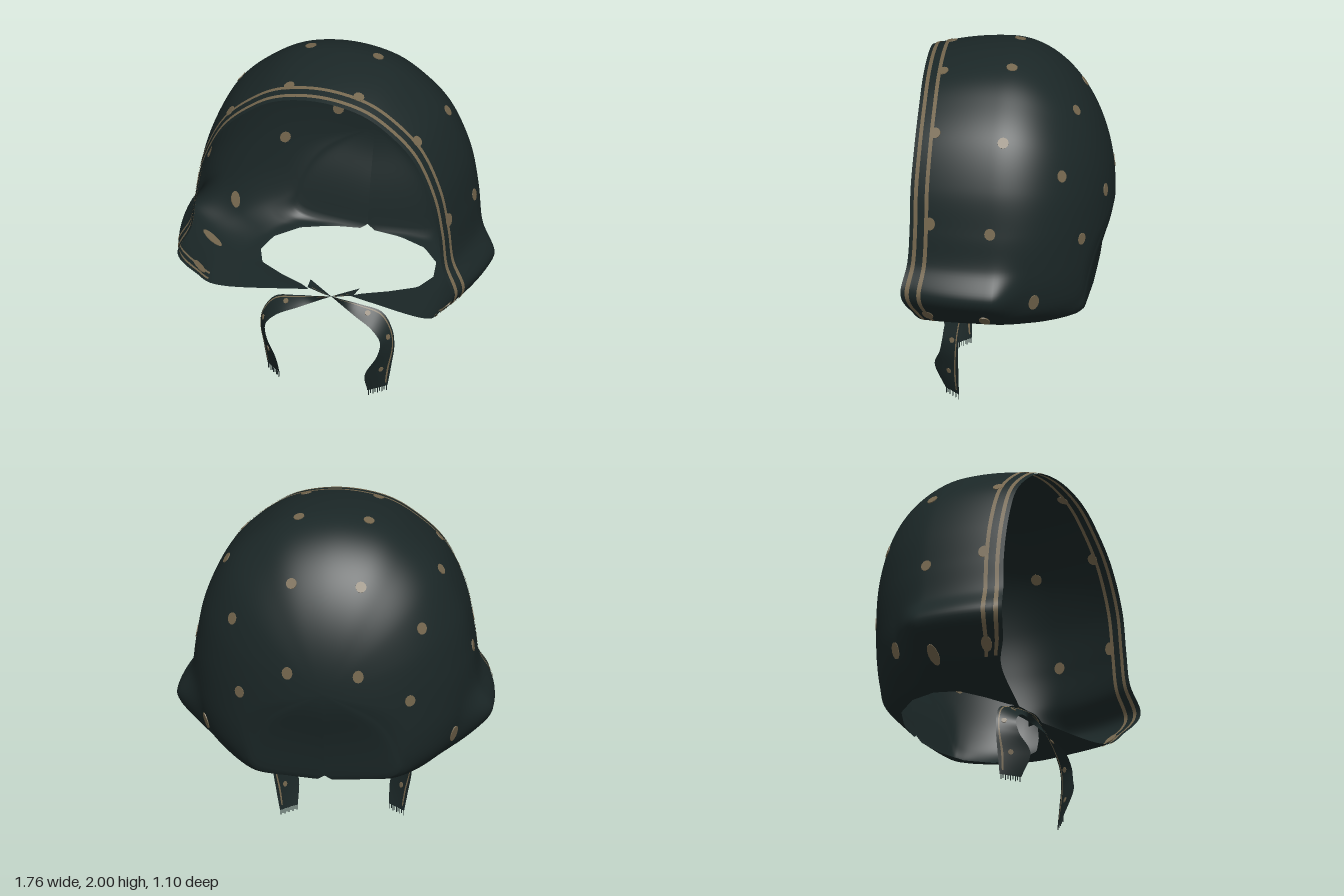
import * as THREE from 'three';

const V = (x, y, z) => new THREE.Vector3(x, y, z);
const { smoothstep, lerp, clamp } = THREE.MathUtils;

// Half outline of the bonnet, crown to chin: x, y, z of the front edge, cheek flare, lift at the back
const OUTLINE = [
  [0, 2, 0.49, 0, 0], [0.24, 1.965, 0.49, 0, 0], [0.42, 1.87, 0.49, 0, 0], [0.6, 1.7, 0.495, 0, 0],
  [0.72, 1.45, 0.505, 0, 0], [0.77, 1.2, 0.505, 0, 0], [0.78, 1.0, 0.515, 0.02, 0],
  [0.765, 0.84, 0.545, 0.115, 0.06], [0.71, 0.7, 0.5, 0.06, 0.12], [0.59, 0.595, 0.42, 0.02, 0.09],
  [0, 0.573, 0.28, 0, 0],
];
// Neck opening: z, half width
const NECK = [[-0.43, 0], [-0.4, 0.2], [-0.33, 0.36], [-0.2, 0.47], [-0.05, 0.5], [0.08, 0.45],
  [0.17, 0.31], [0.24, 0.17], [0.28, 0.12]];
const BACK = -0.55, MID = 1.15;

function neckWidth(z) {
  if (z <= NECK[0][0]) return 0;
  for (let i = 1; i < NECK.length; i++) {
    const [z0, x0] = NECK[i - 1], [z1, x1] = NECK[i];
    if (z <= z1) return lerp(x0, x1, (z - z0) / (z1 - z0));
  }
  return 0.12;
}

// One cross arch of the shell, t = 0 at the back, 1 at the face opening
function arch(t) {
  const half = OUTLINE.map(([x, y, front, flare, lift], i) => {
    const z = BACK + 1.05 * t + (front - 0.5) * t ** 3;
    const q = (z - 0.05) / (z < 0.05 ? 0.6 : 0.45);
    const k = z < 0.05 ? Math.sqrt(Math.max(0, 1 - q * q)) : 1 - 0.085 * Math.min(q * q, 1.1);
    const d = clamp((z - BACK) / 0.12, 0, 1);
    const low = d ** 0.55 * (0.65 + 0.35 * d ** 3);
    const py = y + lift * (1 - smoothstep(z, BACK, -0.38));
    const px = i === OUTLINE.length - 1 ? neckWidth(z) : (x + flare * smoothstep(z, -0.18, 0.04)) * k;
    return V(px, MID + (py - MID) * (y > MID ? k : low), z);
  });
  const other = half.slice(1).map((p) => V(-p.x, p.y, p.z));
  return new THREE.CatmullRomCurve3([...half.reverse(), ...other], false, 'catmullrom', 0.5);
}

const shell = (u, t) => arch(t).getPoint(u);

function shellNormal(u, t) {
  const e = 0.004;
  const a = shell(Math.min(u + e, 1), t).sub(shell(Math.max(u - e, 0), t));
  const b = shell(u, Math.min(t + e, 1)).sub(shell(u, Math.max(t - e, 0)));
  return a.cross(b).normalize();
}

// Smooth surface from a rule of two parameters in 0..1
function grid(rule, nu, nv) {
  const pos = [], idx = [];
  for (let j = 0; j <= nv; j++) {
    for (let i = 0; i <= nu; i++) pos.push(...rule(i / nu, j / nv).toArray());
  }
  for (let j = 0; j < nv; j++) {
    for (let i = 0; i < nu; i++) {
      const a = j * (nu + 1) + i, b = a + nu + 1;
      idx.push(a, a + 1, b, a + 1, b + 1, b);
    }
  }
  const g = new THREE.BufferGeometry();
  g.setAttribute('position', new THREE.Float32BufferAttribute(pos, 3));
  g.setIndex(idx);
  g.computeVertexNormals();
  return g;
}

export function createModel() {
  const model = new THREE.Group();
  model.name = 'bonnet';
  const cloth = new THREE.MeshStandardMaterial({ color: 0x1b2727, side: THREE.DoubleSide });
  cloth.name = 'dark teal cloth';
  const tan = new THREE.MeshStandardMaterial({ color: 0x75674e, side: THREE.DoubleSide });
  tan.name = 'tan print';
  const add = (name, geo, mat, parent = model) => {
    const m = new THREE.Mesh(geo, mat);
    m.name = name;
    parent.add(m);
    return m;
  };

  // Hood
  add('hood', grid((u, w) => shell(u, w * w), 200, 72), cloth);

  // Two printed bands along the face opening, on both sides of the cloth
  for (const t of [0.9, 0.958]) {
    for (const side of [-0.004, 0.004]) {
      add('faceBand', grid((u, v) => {
        const a = lerp(0.07, 0.93, u), b = t + 0.021 * v;
        return shell(a, b).addScaledVector(shellNormal(a, b), side);
      }, 200, 1), tan);
    }
  }

  // Printed dots, moved to the nearest point of the hood: x, y, z, upright stretch
  const samples = [];
  for (let j = 8; j <= 90; j++) {
    const t = (j / 90) ** 2, curve = arch(t);
    for (let i = 0; i <= 150; i++) samples.push({ u: i / 300, t, p: curve.getPoint(i / 300) });
  }
  const dots = [
    [0.2, 1.97, 0, 1], [0.6, 1.7, 0, 1], [0.77, 1.21, 0.05, 1.1], [0.76, 0.65, 0.08, 2.2],
    [0.2, 1.74, -0.36, 1], [0.54, 1.48, -0.34, 1.1], [0.2, 1.26, -0.54, 1.2], [0.48, 1.08, -0.42, 1.1],
    [0.68, 0.78, -0.18, 1.6], [0.2, 1.96, 0.385, 1], [0.55, 1.71, 0.385, 1], [0.74, 1.24, 0.395, 1.2],
    [0.74, 0.67, 0.4, 1.5],
  ];
  for (const [x, y, z, stretch] of dots) {
    const target = V(x, y, z);
    let best = samples[0];
    for (const s of samples) {
      if (s.p.distanceToSquared(target) < best.p.distanceToSquared(target)) best = s;
    }
    const n = shellNormal(best.u, best.t);
    for (const s of [1, -1]) {
      const dot = add('dot', new THREE.CylinderGeometry(0.031, 0.031, 0.008, 12), tan);
      const out = V(s * n.x, n.y, n.z);
      const up = V(0, 1, 0).addScaledVector(out, -out.y).normalize();
      dot.position.set(s * best.p.x, best.p.y, best.p.z);
      dot.quaternion.setFromRotationMatrix(new THREE.Matrix4().makeBasis(out.clone().cross(up), out, up));
      dot.scale.z = stretch;
    }
  }

  // Chin ties: twisted ribbons that cross under the chin
  const outer = [[-0.13, 0.578, 0.27], [0, 0.565, 0.3], [0.18, 0.53, 0.28], [0.3, 0.49, 0.26],
    [0.36, 0.4, 0.27], [0.375, 0.3, 0.275], [0.355, 0.15, 0.275], [0.335, 0.03, 0.275]];
  const inner = [[-0.14, 0.575, 0.18], [0, 0.54, 0.26], [0.16, 0.48, 0.33], [0.265, 0.43, 0.36],
    [0.32, 0.36, 0.37], [0.31, 0.28, 0.385], [0.25, 0.17, 0.42], [0.245, 0.03, 0.36]];
  for (const s of [1, -1]) {
    const tie = new THREE.Group();
    tie.name = s > 0 ? 'leftTie' : 'rightTie';
    model.add(tie);
    const right = s < 0 ? 1 : 0;
    const edge = (pts) => new THREE.CatmullRomCurve3(pts.map(([x, y, z]) =>
      V(s * x * (1 + 0.06 * right), y + 0.03 * right * smoothstep(0.5 - y, 0, 0.45), z + 0.012 * right)));
    const a = edge(outer), b = edge(inner);
    const ribbon = (u, v) => a.getPoint(u).lerp(b.getPoint(u), v);
    const across = (u, v) => {
      const along = ribbon(Math.min(u + 0.01, 1), v).sub(ribbon(Math.max(u - 0.01, 0), v));
      return along.cross(b.getPoint(u).sub(a.getPoint(u))).normalize();
    };
    add('ribbon', grid(ribbon, 60, 6), cloth, tie);

    // Printed line and dots on both faces of the ribbon
    for (const side of [-0.003, 0.003]) {
      add('ribbonLine', grid((u, v) => {
        const f = lerp(0.1, 0.17, v), k = lerp(0.03, 0.97, u);
        return ribbon(k, f).addScaledVector(across(k, f), side);
      }, 60, 1), tan, tie);
    }
    for (const u of [0.35, 0.6, 0.85]) {
      const dot = add('ribbonDot', new THREE.CylinderGeometry(0.016, 0.016, 0.007, 8), tan, tie);
      dot.position.copy(ribbon(u, 0.4));
      dot.quaternion.setFromUnitVectors(V(0, 1, 0), across(u, 0.4));
    }

    // Frayed end
    for (let i = 0; i < 9; i++) {
      const long = i % 2 ? 0.022 : 0.03;
      const thread = add('fringe', new THREE.BoxGeometry(0.004, long, 0.004), cloth, tie);
      thread.position.copy(ribbon(1, (i + 0.5) / 9));
      thread.position.y -= long / 2;
    }
  }
  return model;
}
